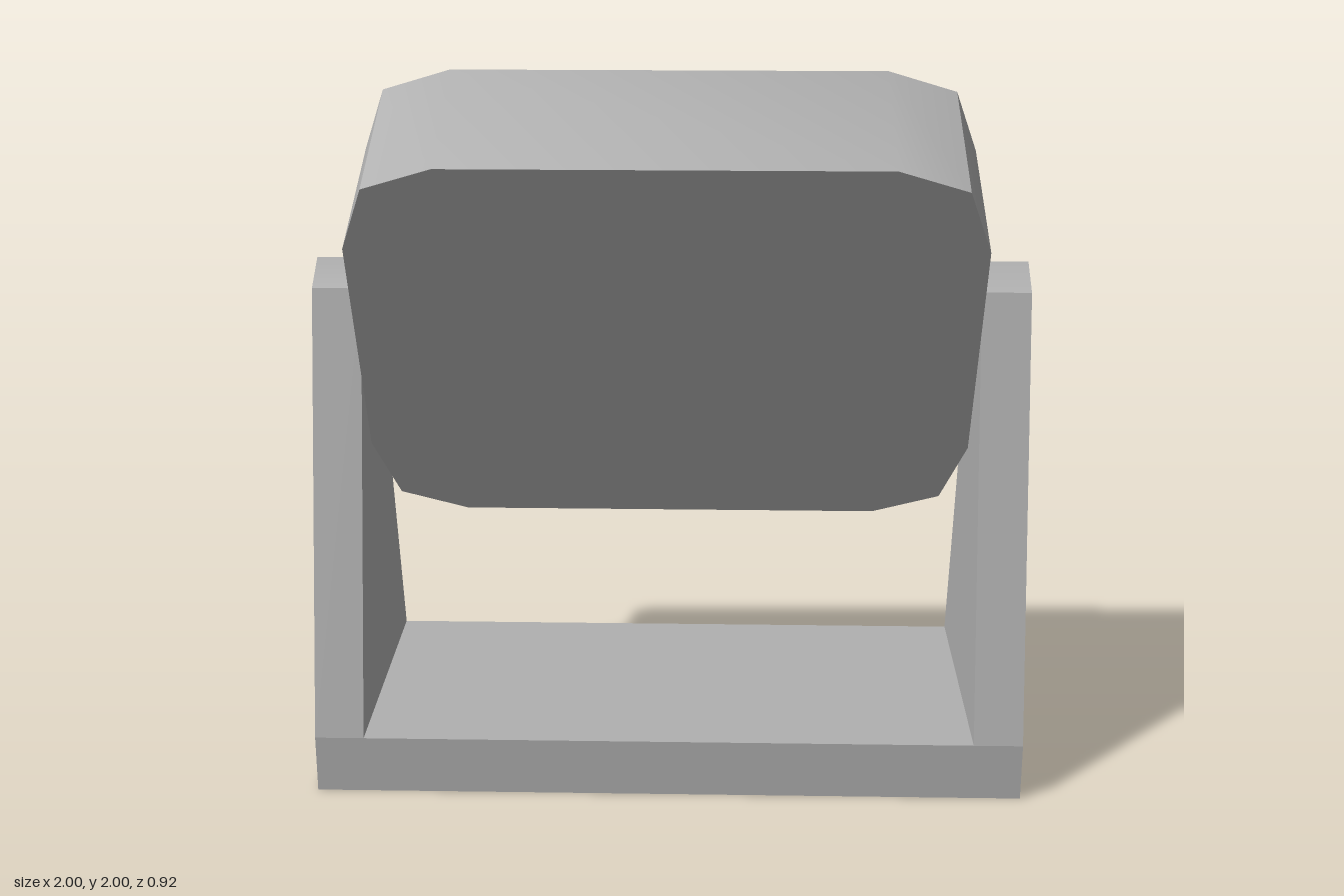
import * as THREE from 'three';
import { toCreasedNormals } from 'three/addons/utils/BufferGeometryUtils.js';

function material(name, color) {
  const m = new THREE.MeshStandardMaterial({ color });
  m.name = name;
  return m;
}

// Extrudes a closed outline, centred on its depth
function prism(points, depth) {
  const shape = new THREE.Shape(points.map(([x, y]) => new THREE.Vector2(x, y)));
  const geo = new THREE.ExtrudeGeometry(shape, { depth, bevelEnabled: false });
  return geo.translate(0, 0, -depth / 2);
}

export function createModel() {
  const grey = material('light grey', 0xb0b0b0);
  const midGrey = material('lens grey', 0x5d5d5d);
  const rimGrey = material('rim grey', 0x484848);
  const black = material('dark ring', 0x2e2e2e);

  const model = new THREE.Group();
  model.name = 'tiltingLampOnStand';
  const add = (parent, name, geo, mat) => {
    const mesh = new THREE.Mesh(geo, mat);
    mesh.name = name;
    parent.add(mesh);
    return mesh;
  };

  // Stand: base plate between two tapering arms
  const stand = new THREE.Group();
  stand.name = 'stand';
  model.add(stand);
  add(stand, 'basePlate', new THREE.BoxGeometry(1.724, 0.165, 0.81), grey).position.y = 0.0825;

  const half = [[0.405, 0], [0.405, 0.165], [0.097, 1.4]];
  const armOutline = [...half, [0, 1.465], ...half.map(([z, y]) => [-z, y]).reverse()];
  const armGeo = prism(armOutline, 0.138);
  // Shade the arm tip as a rounded ridge
  const pos = armGeo.attributes.position, nor = armGeo.attributes.normal;
  for (let i = 0; i < pos.count; i++) {
    if (pos.getY(i) > 1.46 && Math.abs(nor.getZ(i)) < 0.5) nor.setXYZ(i, 0, 1, 0);
  }
  armGeo.rotateY(-Math.PI / 2);
  for (const side of [-1, 1]) {
    add(stand, side > 0 ? 'leftArm' : 'rightArm', armGeo, grey).position.x = side * 0.931;
  }

  // Head: chamfered box leaning forward
  const head = new THREE.Group();
  head.name = 'head';
  head.position.set(-0.006, 1.35, 0.002);
  head.rotation.x = THREE.MathUtils.degToRad(24);
  model.add(head);

  const depth = 0.465;
  const corner = [[0.853, 0.35], [0.785, 0.543], [0.595, 0.608]];
  const right = [...corner.map(([x, y]) => [x, -y]).reverse(), ...corner];
  const outline = [...right, ...right.map(([x, y]) => [-x, -y])];
  add(head, 'housing', toCreasedNormals(prism(outline, depth), THREE.MathUtils.degToRad(35)), grey);

  // Round lens on the back, as thin stacked discs
  const discs = [
    ['lensRim', 0.637, 0.592, rimGrey],
    ['lensRing', 0.626, 0.582, black],
    ['lensCentre', 0.387, 0.37, midGrey],
  ];
  discs.forEach(([name, rx, ry, mat], i) => {
    const geo = new THREE.CircleGeometry(1, 64).rotateY(Math.PI).scale(rx, ry, 1);
    add(head, name, geo, mat).position.set(0.023, 0, -depth / 2 - 0.003 * (i + 1));
  });

  // Narrow dark seam along one back edge
  add(head, 'edgeSeam', new THREE.BoxGeometry(0.012, 0.7, 0.006), black)
    .position.set(0.845, 0, -depth / 2);

  return model;
}
